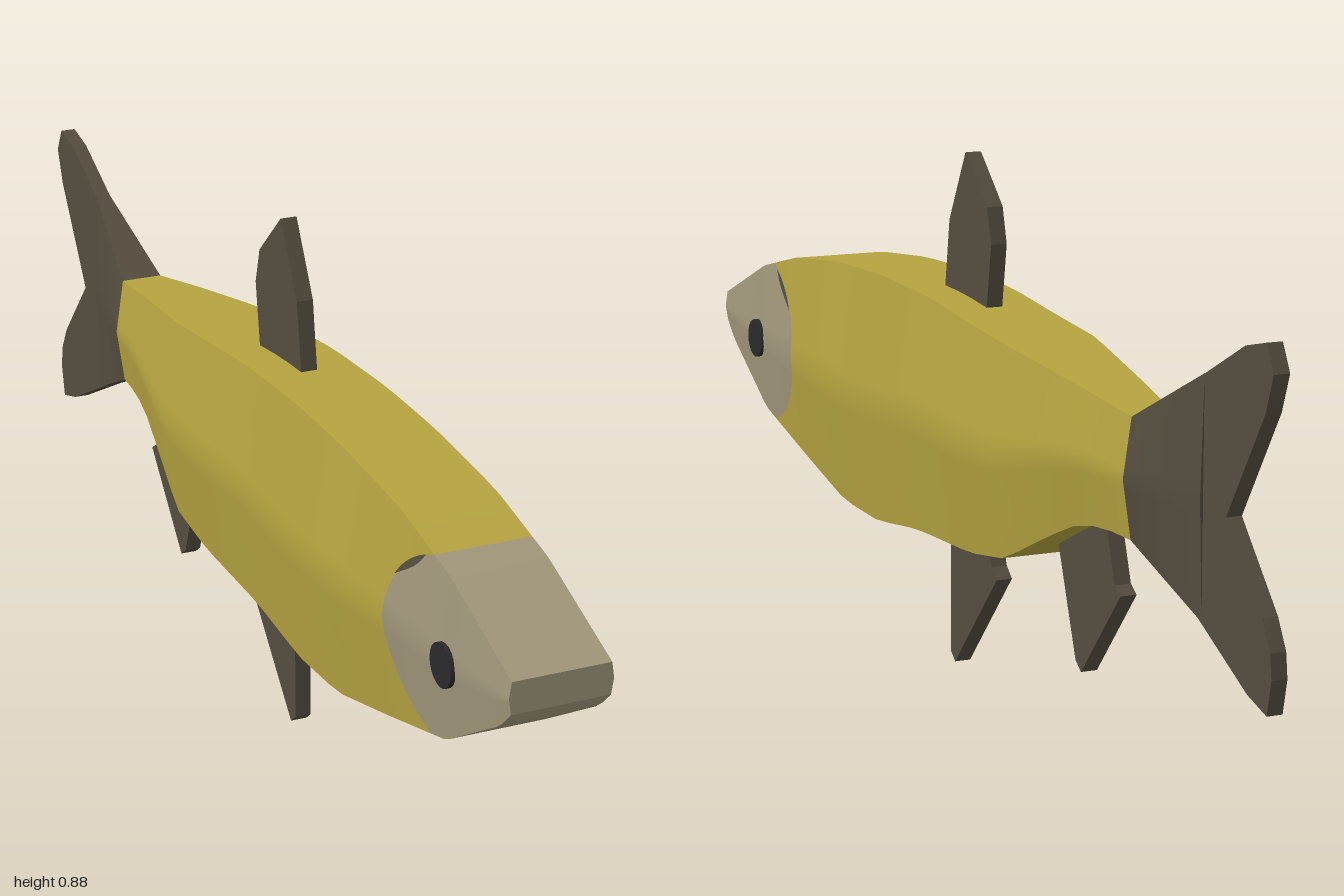
import * as THREE from 'three';

const material = (name, color) => {
  const m = new THREE.MeshStandardMaterial({ color, side: THREE.DoubleSide });
  m.name = name;
  return m;
};

// Profiles as [z, value] from the tail root to the nose
const TOP = [[-0.79, 0.657], [-0.605, 0.56], [-0.45, 0.585], [-0.25, 0.613], [-0.1, 0.627], [0.05, 0.643],
  [0.25, 0.65], [0.42, 0.645], [0.63, 0.625], [0.8, 0.585], [1, 0.505]];
const BOTTOM = [[-0.79, 0.285], [-0.605, 0.37], [-0.52, 0.375], [-0.45, 0.36], [-0.37, 0.325], [-0.25, 0.265],
  [-0.12, 0.245], [0.1, 0.237], [0.27, 0.215], [0.42, 0.22], [0.6, 0.265], [0.8, 0.318], [0.97, 0.422], [1, 0.453]];
const EDGE = [[-0.79, 0.013], [-0.605, 0.036], [-0.25, 0.08], [1, 0.08]];
const MIDDLE = [[-0.79, 0.018], [-0.605, 0.05], [-0.25, 0.107], [0.45, 0.11], [1, 0.084]];

function sample(profile, z) {
  for (let i = 1; i < profile.length; i++) {
    const [z0, a] = profile[i - 1], [z1, b] = profile[i];
    if (z <= z1) return THREE.MathUtils.lerp(a, b, (z - z0) / (z1 - z0));
  }
  return profile[profile.length - 1][1];
}

// Point on a flank: v runs from belly (0) to back (1), widest halfway
function flankPoint(z, v, side, lift = 0) {
  const bulge = 1 - Math.abs(2 * v - 1);
  const x = THREE.MathUtils.lerp(sample(EDGE, z), sample(MIDDLE, z), bulge) + lift;
  return [side * x, THREE.MathUtils.lerp(sample(BOTTOM, z), sample(TOP, z), v), z];
}

// Surface patch from a function of u and v
function patch(point, nu, nv, flip) {
  const positions = [], index = [];
  for (let i = 0; i <= nu; i++)
    for (let j = 0; j <= nv; j++) positions.push(...point(i / nu, j / nv));
  for (let i = 0; i < nu; i++)
    for (let j = 0; j < nv; j++) {
      const a = i * (nv + 1) + j, b = a + nv + 1;
      if (flip) index.push(a, a + 1, b, b, a + 1, b + 1);
      else index.push(a, b, a + 1, b, b + 1, a + 1);
    }
  const g = new THREE.BufferGeometry();
  g.setAttribute('position', new THREE.Float32BufferAttribute(positions, 3));
  g.setIndex(index);
  g.computeVertexNormals();
  return g;
}

// Flat fin from a [z, y] outline
function finGeometry(outline, thickness) {
  const shape = new THREE.Shape(outline.map(([z, y]) => new THREE.Vector2(z, y)));
  const g = new THREE.ExtrudeGeometry(shape, { depth: thickness, bevelEnabled: false });
  g.translate(0, 0, -thickness / 2);
  g.rotateY(-Math.PI / 2);
  return g;
}

export function createModel() {
  const fish = new THREE.Group();
  fish.name = 'fish';
  const scales = material('olive yellow', 0xb5a440);
  const skin = material('grey beige', 0xa0967a);
  const finBrown = material('fin brown', 0x544c3e);
  const black = material('eye black', 0x2a2a2c);

  const add = (parent, name, geometry, mat) => {
    const mesh = new THREE.Mesh(geometry, mat);
    mesh.name = name;
    parent.add(mesh);
    return mesh;
  };

  // Curved edge of the gill cover
  const gill = (v) => 0.62 + 0.13 * (2 * v - 1) ** 2;

  // Body sections: two flanks, a back and a belly between two z limits
  const section = (name, from, to, columns, mat) => {
    const group = new THREE.Group();
    group.name = name;
    const zAt = (u, v) => THREE.MathUtils.lerp(from(v), to(v), u);
    for (const side of [1, -1])
      add(group, side > 0 ? 'leftFlank' : 'rightFlank',
        patch((u, v) => flankPoint(zAt(u, v), v, side), columns, 12, side > 0), mat);
    for (const [label, v] of [['back', 1], ['belly', 0]])
      add(group, label, patch((u, w) => {
        const z = zAt(u, v);
        return [(2 * w - 1) * sample(EDGE, z), flankPoint(z, v, 1)[1], z];
      }, columns, 1, v === 0), mat);
    fish.add(group);
    return group;
  };
  section('body', () => -0.605, gill, 26, scales);
  const head = section('head', gill, () => 1, 12, skin);
  const tail = section('tailRoot', () => -0.79, () => -0.605, 4, finBrown);

  // End faces of the snout and the tail root
  const cap = (z, flip) => patch((u, v) => {
    const [x, y] = flankPoint(z, v, 1);
    return [(2 * u - 1) * x, y, z];
  }, 1, 2, flip);
  add(head, 'snout', cap(1, false), skin);
  add(tail, 'tailRootEnd', cap(-0.79, true), finBrown);

  // Eyes and gill slits
  for (const side of [1, -1]) {
    const label = side > 0 ? 'left' : 'right';
    const eye = add(fish, label + 'Eye', new THREE.CylinderGeometry(0.035, 0.035, 0.008, 20), black);
    eye.rotation.z = Math.PI / 2;
    eye.position.set(side * 0.0935, 0.448, 0.81);
    add(fish, label + 'GillSlit', patch((u, v) => {
      const h = 0.72 + 0.24 * v;
      return flankPoint(gill(h) + u * 0.018 * Math.sin(Math.PI * v), h, side, 0.002);
    }, 1, 10, side > 0), finBrown);
  }

  // Fins
  add(fish, 'tailFin', finGeometry([[-0.75, 0.636], [-0.91, 0.718], [-0.97, 0.732], [-0.992, 0.69], [-0.97, 0.63],
    [-0.86, 0.458], [-0.97, 0.335], [-0.995, 0.29], [-1, 0.25], [-0.988, 0.195], [-0.93, 0.212],
    [-0.75, 0.303]], 0.026), finBrown);
  add(fish, 'dorsalFin', finGeometry([[0.13, 0.63], [0.11, 0.76], [0.045, 0.88], [-0.04, 0.8],
    [-0.056, 0.74], [-0.035, 0.61]], 0.028), finBrown);
  add(fish, 'pelvicFin', finGeometry([[0.105, 0.27], [0.108, 0.015], [0.09, 0], [-0.078, 0.182],
    [-0.058, 0.2], [-0.03, 0.27]], 0.028), finBrown);
  add(fish, 'analFin', finGeometry([[-0.3, 0.33], [-0.375, 0.122], [-0.395, 0.107], [-0.53, 0.262],
    [-0.51, 0.275], [-0.475, 0.38]], 0.028), finBrown);

  return fish;
}
